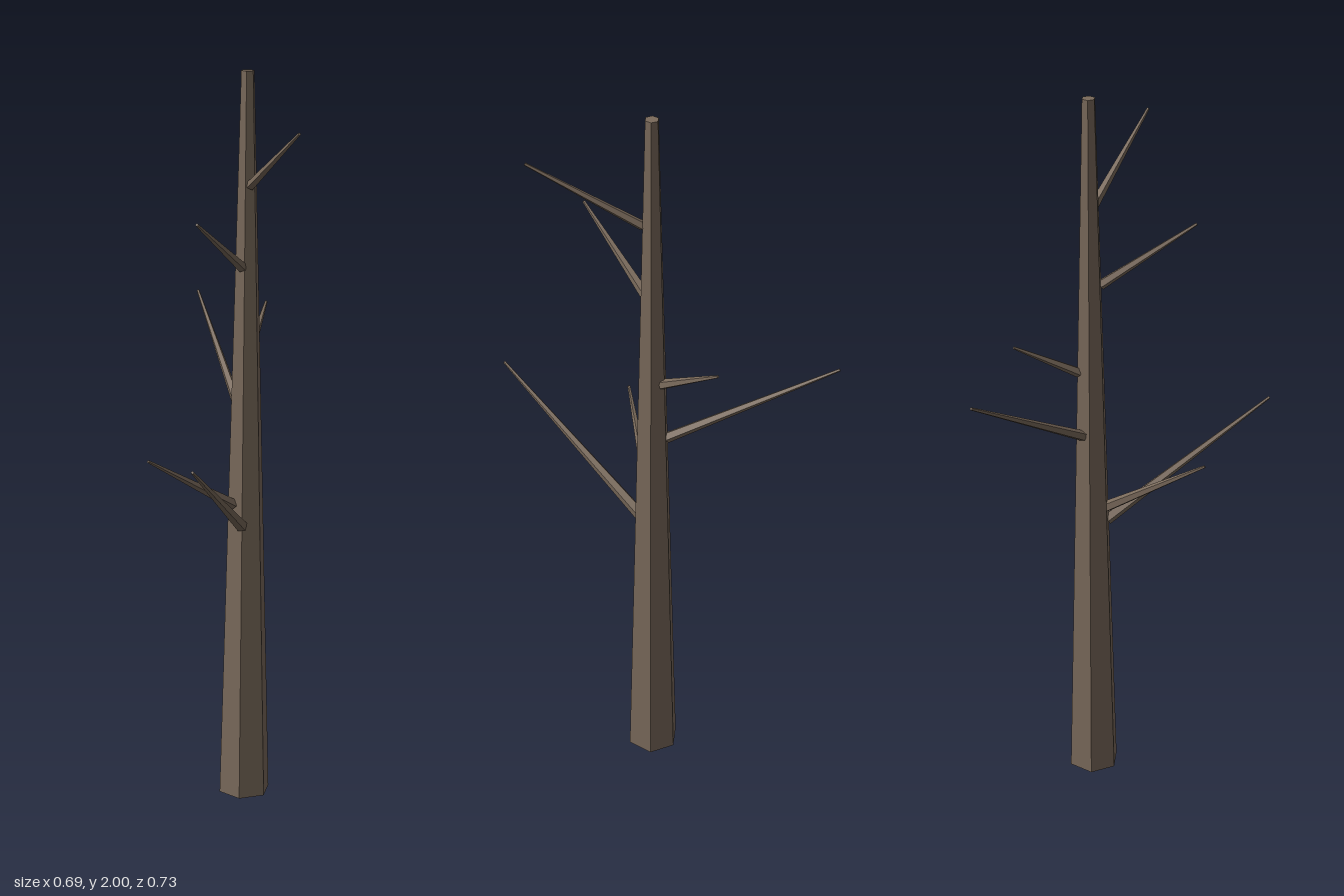
import * as THREE from 'three';

export function createModel() {
  const tree = new THREE.Group();
  tree.name = 'bareTree';
  const bark = new THREE.MeshStandardMaterial({ color: 0x7a6a5b, flatShading: true });
  bark.name = 'bark';

  // Tapered six-sided trunk, corners pointing along x
  const height = 2, bottomRadius = 0.072, topRadius = 0.018;
  const axis = new THREE.Vector3(0.062, 0, -0.106);
  const trunkGeometry = new THREE.CylinderGeometry(topRadius, bottomRadius, height, 6);
  trunkGeometry.rotateY(Math.PI / 6);
  const trunk = new THREE.Mesh(trunkGeometry, bark);
  trunk.name = 'trunk';
  trunk.position.set(axis.x, height / 2, axis.z);
  tree.add(trunk);

  // Thin tapered branches growing outward from the trunk surface
  const up = new THREE.Vector3(0, 1, 0);
  function addBranch(name, baseY, baseRadius, tip) {
    const end = new THREE.Vector3(...tip);
    const outward = end.clone().sub(axis).setY(0).normalize();
    const trunkRadius = THREE.MathUtils.lerp(bottomRadius, topRadius, baseY / height);
    const start = axis.clone().addScaledVector(outward, trunkRadius * 0.85).setY(baseY);
    const direction = end.clone().sub(start);
    const geometry = new THREE.CylinderGeometry(0.004, baseRadius, direction.length(), 5);
    const branch = new THREE.Mesh(geometry, bark);
    branch.name = name;
    branch.position.copy(start).add(end).multiplyScalar(0.5);
    branch.quaternion.setFromUnitVectors(up, direction.normalize());
    tree.add(branch);
  }
  addBranch('lowestBranch', 0.785, 0.017, [0.293, 1.073, 0.363]);
  addBranch('lowFrontBranch', 0.84, 0.016, [-0.007, 1.008, 0.204]);
  addBranch('longBackBranch', 1.065, 0.015, [-0.342, 1.323, -0.363]);
  addBranch('shortBackBranch', 1.245, 0.014, [-0.032, 1.348, -0.296]);
  addBranch('upperFrontBranch', 1.49, 0.014, [0.13, 1.645, 0.166]);
  addBranch('topBranch', 1.705, 0.013, [0.341, 1.878, 0.021]);
  return tree;
}
